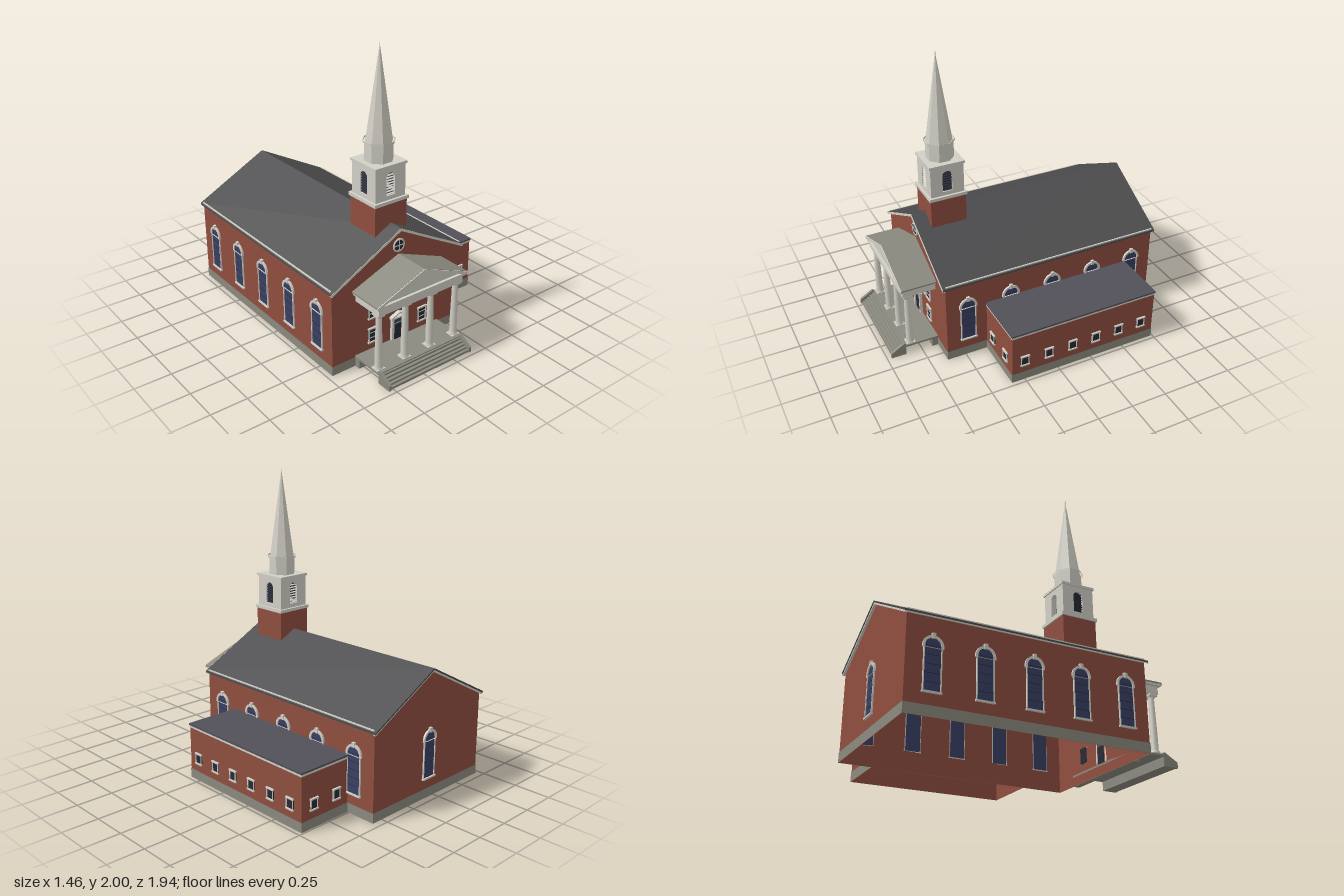
import * as THREE from 'three';

const mat = (name, color) => Object.assign(new THREE.MeshStandardMaterial({ color, side: THREE.DoubleSide }), { name });
const brick = mat('brick', 0x8f4e3f), white = mat('white trim', 0xd2d0c6), stone = mat('stone', 0x8b8a80);
const slate = mat('slate', 0x4c4c4e), flat = mat('flat roof', 0x525058);
const blue = mat('blue glass', 0x3a4064), dark = mat('dark glass', 0x262a36);

function add(parent, name, geo, material, x = 0, y = 0, z = 0) {
  const m = new THREE.Mesh(geo, material);
  m.name = name;
  m.position.set(x, y, z);
  parent.add(m);
  return m;
}
// Box given by its limits
const block = (p, name, m, x0, x1, y0, y1, z0, z1) =>
  add(p, name, new THREE.BoxGeometry(x1 - x0, y1 - y0, z1 - z0), m, (x0 + x1) / 2, (y0 + y1) / 2, (z0 + z1) / 2);
const poly = (pts) => new THREE.Shape(pts.map(([x, y]) => new THREE.Vector2(x, y)));
const extrude = (shape, depth) => new THREE.ExtrudeGeometry(shape, { depth, bevelEnabled: false, curveSegments: 8 });

// Four walls without floor or top
function walls(p, name, m, x0, x1, y0, y1, z0, z1) {
  let g = new THREE.CylinderGeometry(Math.SQRT1_2, Math.SQRT1_2, 1, 4, 1, true).rotateY(Math.PI / 4);
  g = g.scale(x1 - x0, y1 - y0, z1 - z0).toNonIndexed();
  g.computeVertexNormals();
  return add(p, name, g, m, (x0 + x1) / 2, (y0 + y1) / 2, (z0 + z1) / 2);
}
// Pitched slab running along z
const chevron = (p, name, m, hw, eave, peak, t, z0, z1) =>
  add(p, name, extrude(poly([[-hw, eave], [-hw, eave - t], [0, peak - t], [hw, eave - t], [hw, eave], [0, peak]]), z1 - z0), m, 0, 0, z0);

// Round-headed outline
function arch(hw, y0, spring, Type = THREE.Shape) {
  const s = new Type();
  s.moveTo(-hw, y0);
  s.lineTo(hw, y0);
  s.lineTo(hw, spring);
  s.absarc(0, spring, hw, 0, Math.PI, false);
  s.lineTo(-hw, y0);
  return s;
}
// Group on a wall; local +z points outward
function onWall(parent, name, x, y, z, turn) {
  const g = new THREE.Group();
  g.name = name;
  g.position.set(x, y, z);
  g.rotation.y = turn;
  parent.add(g);
  return g;
}

function archedWindow(parent, x, z, turn) {
  const g = onWall(parent, 'archedWindow', x, 0, z, turn);
  add(g, 'pane', extrude(arch(0.05, 0.14, 0.405), 0.008), blue, 0, 0, -0.003);
  const jamb = arch(0.056, 0.14, 0.405);
  jamb.holes.push(arch(0.049, 0.141, 0.405, THREE.Path));
  add(g, 'jamb', extrude(jamb, 0.01), white);
  const hood = arch(0.064, 0.395, 0.405);
  hood.holes.push(arch(0.049, 0.3951, 0.405, THREE.Path));
  add(g, 'hood', extrude(hood, 0.013), white);
  block(g, 'keystone', white, -0.011, 0.011, 0.45, 0.482, 0, 0.017);
  block(g, 'sill', white, -0.06, 0.06, 0.133, 0.143, 0, 0.016);
  for (let i = 0; i < 5; i++) block(g, 'glazingBar', dark, -0.049, 0.049, 0.194 + i * 0.053, 0.197 + i * 0.053, 0, 0.0065);
}

function squareWindow(parent, x, y, z, turn, w, h, bars, frame) {
  const g = onWall(parent, 'squareWindow', x, y, z, turn);
  block(g, 'pane', dark, -w / 2, w / 2, -h / 2, h / 2, -0.003, 0.005);
  for (const s of [-1, 1]) {
    add(g, 'jamb', new THREE.BoxGeometry(frame, h, 0.01), white, s * (w - frame) / 2, 0, 0.005);
    add(g, 'lintelAndSill', new THREE.BoxGeometry(w + 0.006, 0.01, 0.014), white, 0, s * (h / 2 - 0.004), 0.006);
  }
  for (let i = 1; i <= bars; i++)
    add(g, 'glazingBar', new THREE.BoxGeometry(w, 0.005, 0.005), white, 0, h * (i / (bars + 1) - 0.5), 0.005);
}

function buildHall(c) {
  const W = 0.52, F = 0.63, B = -0.95;
  const gable = poly([[-W, 0], [W, 0], [W, 0.588], [0, 0.862], [-W, 0.588]]);
  add(c, 'frontWall', new THREE.ShapeGeometry(gable), brick, 0, 0, F);
  add(c, 'backWall', new THREE.ShapeGeometry(gable).rotateY(Math.PI), brick, 0, 0, B);
  for (const s of [-1, 1]) {
    add(c, 'sideWall', new THREE.PlaneGeometry(F - B, 0.588).rotateY(s * Math.PI / 2), brick, s * W, 0.294, (F + B) / 2);
    add(c, 'gutter', new THREE.BoxGeometry(0.009, 0.026, F - B), white, s * 0.524, 0.593, (F + B) / 2);
    for (const z of [0.475, 0.16, -0.155, -0.47, -0.79]) archedWindow(c, s * W, z, s * Math.PI / 2);
  }
  archedWindow(c, 0, B, Math.PI);
  walls(c, 'foundation', stone, -W - 0.003, W + 0.003, 0, 0.065, B - 0.003, F + 0.003);
  chevron(c, 'mainRoof', slate, 0.535, 0.595, 0.876, 0.012, -0.97, 0.65);
  chevron(c, 'frontRake', white, 0.534, 0.594, 0.874, 0.018, F, 0.653);
  chevron(c, 'backRake', white, 0.53, 0.585, 0.864, 0.012, -0.966, B);

  // Front windows
  for (const s of [-1, 1]) {
    squareWindow(c, s * 0.205, 0.178, F, 0, 0.072, 0.108, 2, 0.009);
    for (const x of [0.115, 0.205]) squareWindow(c, s * x, 0.356, F, 0, 0.072, 0.112, 2, 0.009);
  }
  // Round gable window
  const r = onWall(c, 'roundWindow', 0, 0.75, F, 0);
  add(r, 'pane', new THREE.CylinderGeometry(0.04, 0.04, 0.008, 24).rotateX(Math.PI / 2), dark);
  add(r, 'ring', new THREE.TorusGeometry(0.041, 0.007, 6, 24), white);
  block(r, 'bar', white, -0.04, 0.04, -0.003, 0.003, 0, 0.007);
  block(r, 'bar', white, -0.003, 0.003, -0.04, 0.04, 0, 0.007);
  // Doorway
  const d = onWall(c, 'doorway', 0, 0, F, 0);
  block(d, 'surround', white, -0.056, 0.056, 0.075, 0.235, 0.001, 0.01);
  block(d, 'door', dark, -0.033, 0.033, 0.075, 0.188, -0.004, 0.014);
  block(d, 'transom', blue, -0.043, 0.043, 0.197, 0.224, 0, 0.013);
  for (const s of [-1, 1]) add(d, 'pilaster', new THREE.BoxGeometry(0.016, 0.155, 0.02), white, s * 0.051, 0.155, 0.01);
  block(d, 'lintel', white, -0.066, 0.066, 0.232, 0.243, 0, 0.025);
  chevron(d, 'doorPediment', white, 0.068, 0.25, 0.277, 0.011, 0, 0.027);
}

function buildPortico(c) {
  const p = onWall(c, 'portico', 0, 0, 0, 0);
  block(p, 'entablature', white, -0.34, 0.34, 0.472, 0.527, 0.63, 0.862);
  block(p, 'cornice', white, -0.36, 0.36, 0.525, 0.542, 0.63, 0.876);
  add(p, 'pediment', extrude(poly([[-0.35, 0.54], [0.35, 0.54], [0, 0.672]]), 0.228), white, 0, 0, 0.63);
  chevron(p, 'porticoRoof', stone, 0.366, 0.548, 0.69, 0.01, 0.63, 0.874);
  chevron(p, 'rake', white, 0.365, 0.547, 0.688, 0.02, 0.858, 0.88);
  // Columns
  const prof = [[0.03, 0.08], [0.03, 0.092], [0.024, 0.1], [0.024, 0.2], [0.019, 0.445], [0.025, 0.452], [0.027, 0.46]];
  const shaft = new THREE.LatheGeometry(prof.map(([x, y]) => new THREE.Vector2(x, y)), 14);
  for (const x of [-0.312, -0.104, 0.104, 0.312]) {
    add(p, 'column', shaft, white, x, 0, 0.825);
    block(p, 'capital', white, x - 0.029, x + 0.029, 0.458, 0.473, 0.796, 0.854);
    block(p, 'plinth', white, x - 0.031, x + 0.031, 0.073, 0.083, 0.794, 0.856);
  }
  // Floor, steps and cheek walls
  block(p, 'floor', stone, -0.345, 0.345, 0.062, 0.075, 0.63, 0.875);
  block(p, 'floorSupport', stone, -0.345, 0.345, 0, 0.062, 0.633, 0.675);
  for (let i = 0; i < 5; i++)
    block(p, 'step', stone, -0.335, 0.335, 0, 0.068 - i * 0.013, 0.865, 0.887 + i * 0.019);
  const cheek = extrude(poly([[0.865, 0], [0.97, 0], [0.97, 0.036], [0.88, 0.088], [0.865, 0.088]]), 0.018).rotateY(-Math.PI / 2);
  for (const x of [-0.325, 0.343]) add(p, 'cheekWall', cheek, stone, x);
}

function buildSteeple(c) {
  const t = onWall(c, 'steeple', 0, 0, 0.425, 0);
  block(t, 'towerBase', brick, -0.126, 0.126, 0.8, 1.012, -0.126, 0.126);
  block(t, 'lowerCornice', white, -0.135, 0.135, 1.01, 1.032, -0.135, 0.135);
  block(t, 'belfryFloor', dark, -0.1, 0.1, 1.03, 1.035, -0.1, 0.1);
  // Belfry walls with louvred arches
  const wall = poly([[-0.118, 1.03], [0.118, 1.03], [0.118, 1.25], [-0.118, 1.25]]);
  wall.holes.push(arch(0.034, 1.06, 1.177, THREE.Path));
  for (let k = 0; k < 4; k++) {
    const g = onWall(t, 'belfrySide', 0, 0, 0, k * Math.PI / 2);
    add(g, 'belfryWall', extrude(wall, 0.014), white, 0, 0, 0.104);
    if (k % 2) add(g, 'louvreBacking', extrude(arch(0.036, 1.058, 1.177), 0.004), dark, 0, 0, 0.1);
    for (let i = 0; i < 8; i++) {
      const y = 1.068 + i * 0.018, rise = Math.max(0, y - 1.177);
      const w = 2 * Math.sqrt(0.034 ** 2 - rise ** 2);
      add(g, 'louvre', new THREE.BoxGeometry(w, 0.003, 0.012), k % 2 ? dark : white, 0, y, 0.11).rotation.x = 0.4;
    }
  }
  block(t, 'upperCornice', white, -0.126, 0.126, 1.247, 1.264, -0.126, 0.126);
  // Octagonal drum and spire, flat side to the front
  const oct = (name, a0, a1, y0, y1, open = false) => {
    const k = 1 / Math.cos(Math.PI / 8);
    const g = new THREE.CylinderGeometry(a1 * k, a0 * k, y1 - y0, 8, 1, open).rotateY(Math.PI / 8).toNonIndexed();
    g.computeVertexNormals();
    add(t, name, g, white, 0, (y0 + y1) / 2);
  };
  oct('drum', 0.087, 0.087, 1.262, 1.388);
  oct('drumCornice', 0.097, 0.097, 1.384, 1.396, true);
  oct('spire', 0.082, 0.003, 1.388, 1.975);
  oct('finial', 0.003, 0.002, 1.97, 2);
}

function buildAnnex(root) {
  const a = onWall(root, 'annex', 0, 0, 0, 0);
  const X0 = 0.329, X1 = 0.72, B = -0.737, F = 0.34;
  walls(a, 'annexWalls', brick, X0, X1, 0, 0.366, B, F);
  walls(a, 'annexFoundation', stone, X0, X1 + 0.003, 0, 0.065, B - 0.003, F + 0.003);
  walls(a, 'fascia', white, X0, X1 + 0.004, 0.36, 0.377, B - 0.004, F + 0.004);
  block(a, 'annexRoof', flat, X0, X1 + 0.006, 0.375, 0.387, B - 0.006, F + 0.006);
  for (let i = 0; i < 6; i++) squareWindow(a, X1, 0.158, 0.25 - i * 0.178, Math.PI / 2, 0.06, 0.078, 0, 0.006);
  for (const x of [0.43, 0.622]) {
    squareWindow(a, x, 0.158, F, 0, 0.06, 0.078, 0, 0.006);
    squareWindow(a, x, 0.158, B, Math.PI, 0.06, 0.078, 0, 0.006);
  }
}

export function createModel() {
  const root = new THREE.Group();
  root.name = 'church';
  const c = onWall(root, 'mainChurch', -0.193, 0, 0, 0);
  buildHall(c);
  buildPortico(c);
  buildSteeple(c);
  buildAnnex(root);
  return root;
}
